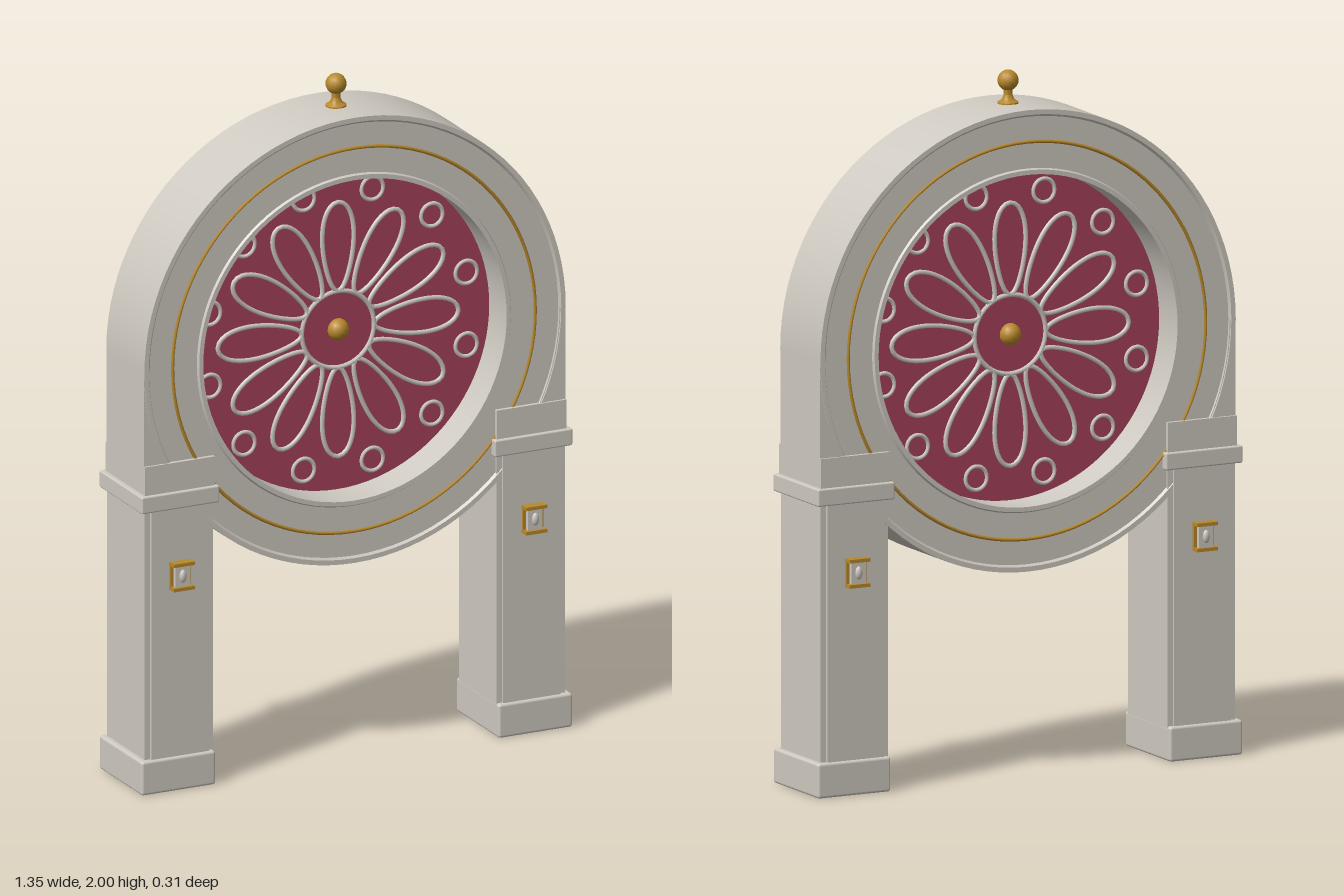
import * as THREE from 'three';
import { toCreasedNormals } from 'three/addons/utils/BufferGeometryUtils.js';
import { RoundedBoxGeometry } from 'three/addons/geometries/RoundedBoxGeometry.js';

const CY = 1.245; // height of the wheel centre

export function createModel() {
  const model = new THREE.Group();
  model.name = 'roseWindowArch';
  const mat = (name, color) => Object.assign(new THREE.MeshStandardMaterial({ color }), { name });
  const stone = mat('stone', 0xcfcac1);
  const gold = mat('gold', 0xb8892b);
  const crimson = mat('crimson', 0xa6425b);

  const add = (parent, name, geometry, material, x = 0, y = 0, z = 0) => {
    const mesh = new THREE.Mesh(geometry, material);
    mesh.name = name;
    mesh.position.set(x, y, z);
    parent.add(mesh);
    return mesh;
  };
  const group = (name, parent = model, x = 0, y = 0, z = 0) => {
    const g = new THREE.Group();
    g.name = name;
    g.position.set(x, y, z);
    parent.add(g);
    return g;
  };
  const box = (w, h, d) => new THREE.BoxGeometry(w, h, d);
  const lathe = (pts, segments) => toCreasedNormals(
    new THREE.LatheGeometry(pts.map(([r, y]) => new THREE.Vector2(r, y)), segments), 0.6);

  // Stone ring with raised outer and inner lips on both faces
  const wheel = group('wheel', model, 0, CY, 0);
  const half = [[0.66, 0.12], [0.646, 0.12], [0.64, 0.113], [0.492, 0.113], [0.488, 0.12], [0.475, 0.12]];
  const back = half.map(([r, z]) => [r, -z]).reverse();
  const ring = lathe([...back, ...half, back[0]], 96);
  ring.rotateX(Math.PI / 2);
  add(wheel, 'stoneRing', ring, stone);
  for (const s of [1, -1]) {
    add(wheel, 'goldInlay', new THREE.TorusGeometry(0.568, 0.005, 6, 96), gold, 0, 0, s * 0.113);
  }

  // Crimson panel in the middle of the ring
  const panel = new THREE.CylinderGeometry(0.48, 0.48, 0.02, 64);
  panel.rotateX(Math.PI / 2);
  add(wheel, 'crimsonPanel', panel, crimson);

  // Closed petal outline, pointing up, wider towards its outer end
  const petalPoints = [];
  for (let i = 0; i < 20; i++) {
    const a = (i / 20) * Math.PI * 2;
    petalPoints.push(new THREE.Vector3(
      0.048 * Math.sin(a) * (1 + 0.25 * Math.cos(a)), 0.245 + 0.132 * Math.cos(a), 0));
  }
  const petal = new THREE.TubeGeometry(new THREE.CatmullRomCurve3(petalPoints, true), 40, 0.007, 6, true);
  const circlet = new THREE.TorusGeometry(0.034, 0.006, 6, 24);

  // Tracery on both faces of the panel
  for (const s of [1, -1]) {
    const tracery = group(s > 0 ? 'frontTracery' : 'backTracery', wheel, 0, 0, s * 0.012);
    for (let i = 0; i < 12; i++) {
      const a = (i / 12) * Math.PI * 2;
      add(tracery, 'petal', petal, stone).rotation.z = a;
      const b = a + Math.PI / 12;
      add(tracery, 'circlet', circlet, stone, 0.416 * Math.cos(b), 0.416 * Math.sin(b), 0);
    }
    add(tracery, 'hubRing', new THREE.TorusGeometry(0.113, 0.007, 6, 48), stone);
    add(tracery, 'hubStud', new THREE.SphereGeometry(0.032, 16, 10), gold);
  }

  // Finial on the crown
  const finial = group('finial', model, 0, 1.9, 0);
  add(finial, 'finialStem', lathe(
    [[0, 0], [0.03, 0], [0.03, 0.008], [0.018, 0.016], [0.012, 0.03], [0.014, 0.05], [0, 0.05]], 16), gold);
  add(finial, 'finialBall', new THREE.SphereGeometry(0.03, 12, 10), gold, 0, 0.07, 0);

  // Square legs, shoulders and ornaments on either side
  for (const s of [1, -1]) {
    const leg = group(s > 0 ? 'leftLeg' : 'rightLeg');
    const cx = s * 0.551;

    // Shoulder fills the gap between the straight side and the ring
    const outline = [new THREE.Vector2(s * 0.66, 0.95), new THREE.Vector2(s * 0.66, CY)];
    for (let i = 0; i <= 8; i++) {
      const a = (i / 8) * 0.45;
      outline.push(new THREE.Vector2(s * 0.642 * Math.cos(a), CY - 0.642 * Math.sin(a)));
    }
    const shoulder = new THREE.ExtrudeGeometry(new THREE.Shape(outline), { depth: 0.236, bevelEnabled: false });
    add(leg, 'shoulder', shoulder, stone, 0, 0, -0.118);

    add(leg, 'base', new RoundedBoxGeometry(0.232, 0.1, 0.27, 2, 0.008), stone, s * 0.559, 0.05, 0);
    add(leg, 'shaft', box(0.215, 0.79, 0.236), stone, cx, 0.475, 0);
    add(leg, 'shaftPanel', box(0.18, 0.76, 0.252), stone, cx, 0.475, 0);
    add(leg, 'capital', box(0.219, 0.13, 0.25), stone, cx, 0.905, 0);
    add(leg, 'collar', new RoundedBoxGeometry(0.244, 0.05, 0.27, 2, 0.005), stone, s * 0.553, 0.86, 0);

    // Small lantern-like ornament on the front and back
    for (const f of [1, -1]) {
      const ornament = group('ornament', leg, s * 0.552, 0.638, 0);
      add(ornament, 'goldBacking', box(0.064, 0.078, 0.008), gold, 0, 0, f * 0.129);
      add(ornament, 'stoneBlock', box(0.046, 0.064, 0.02), stone, 0, 0, f * 0.136);
      add(ornament, 'stoneBoss', new THREE.SphereGeometry(0.014, 12, 8), stone, 0, 0, f * 0.145)
        .scale.set(0.8, 1.4, 0.7);
      for (const t of [1, -1]) {
        add(ornament, 'goldCap', box(0.066, 0.01, 0.03), gold, 0, t * 0.036, f * 0.14);
      }
    }
  }
  return model;
}
